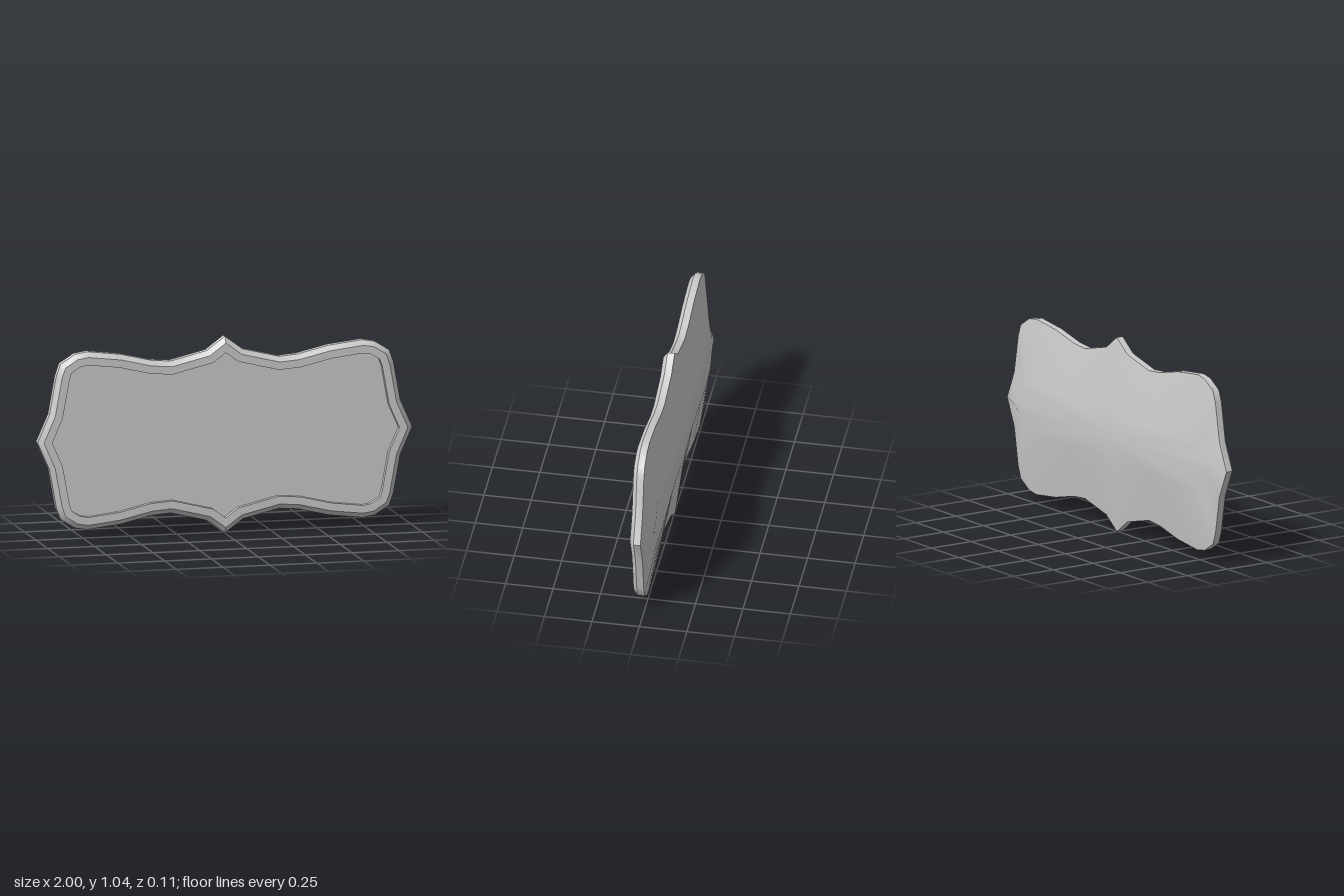
import * as THREE from 'three';
import { mergeVertices, toCreasedNormals } from 'three/addons/utils/BufferGeometryUtils.js';

const CENTER_Y = 0.518;

// One quarter of the bracket outline, from the side tip to the top tip
const QUARTER = [
  [1, 0], [0.936, 0.145], [0.9, 0.345], [0.877, 0.409], [0.8, 0.457], [0.735, 0.468],
  [0.556, 0.447], [0.39, 0.408], [0.29, 0.4], [0.096, 0.447], [0, 0.518],
];

// Mirror the quarter into a full counter-clockwise loop
function fullOutline() {
  const half = [...QUARTER, ...QUARTER.slice(0, -1).reverse().map(([x, y]) => [-x, y])];
  const lower = half.slice(1, -1).reverse().map(([x, y]) => [x, -y]);
  return [...half, ...lower].map(([x, y]) => new THREE.Vector2(x, y));
}

// Mitred inward offset of a loop
function inset(loop, d) {
  const n = loop.length;
  const inward = (a, b) => new THREE.Vector2(a.y - b.y, b.x - a.x).normalize();
  return loop.map((p, i) => {
    const n1 = inward(loop[(i + n - 1) % n], p);
    const n2 = inward(p, loop[(i + 1) % n]);
    const m = n1.clone().add(n2).normalize();
    return p.clone().addScaledVector(m, d / m.dot(n1));
  });
}

const at = (loop, z) => loop.map((p) => new THREE.Vector3(p.x, p.y, z));

// Triangles joining loop a to loop b
function band(a, b) {
  const out = [];
  a.forEach((p, i) => {
    const j = (i + 1) % a.length;
    out.push(p, a[j], b[j], p, b[j], b[i]);
  });
  return out;
}

const geometryOf = (points) => new THREE.BufferGeometry().setFromPoints(points);

export function createModel() {
  const group = new THREE.Group();
  const material = new THREE.MeshStandardMaterial({ color: 0xcccccc });
  const add = (name, geometry) => {
    const mesh = new THREE.Mesh(geometry, material);
    mesh.name = name;
    mesh.position.y = CENTER_Y;
    group.add(mesh);
  };

  const outline = fullOutline();
  const rimOuter = inset(outline, 0.026);
  const rimInner = inset(outline, 0.067);
  const backZ = -0.055, edgeZ = -0.005, chamferZ = 0.032, frontZ = 0.055, panelZ = 0.027;

  // Frame: side wall, front chamfer, flat rim and recess wall
  const strips = [
    ['sideWall', at(outline, edgeZ), at(outline, chamferZ)],
    ['frontChamfer', at(outline, chamferZ), at(rimOuter, frontZ)],
    ['frontRim', at(rimOuter, frontZ), at(rimInner, frontZ)],
    ['recessWall', at(rimInner, frontZ), at(rimInner, panelZ)],
  ];
  for (const [name, a, b] of strips) add(name, toCreasedNormals(geometryOf(band(a, b)), 0.7));

  // Sunken front panel
  const panel = new THREE.ShapeGeometry(new THREE.Shape(rimInner));
  panel.translate(0, 0, panelZ);
  add('frontPanel', panel);

  // Softly bulging back: slopes up to a smaller flattened outline, closed by a fan
  const crown = at(outline.map((p) => new THREE.Vector2(p.x * 0.87, p.y * 0.29)), backZ);
  const middle = new THREE.Vector3(0, 0, backZ);
  const points = band(crown, at(outline, edgeZ));
  crown.forEach((p, i) => points.push(middle, crown[(i + 1) % crown.length], p));
  const back = mergeVertices(geometryOf(points));
  back.computeVertexNormals();
  add('backShell', back);

  return group;
}
